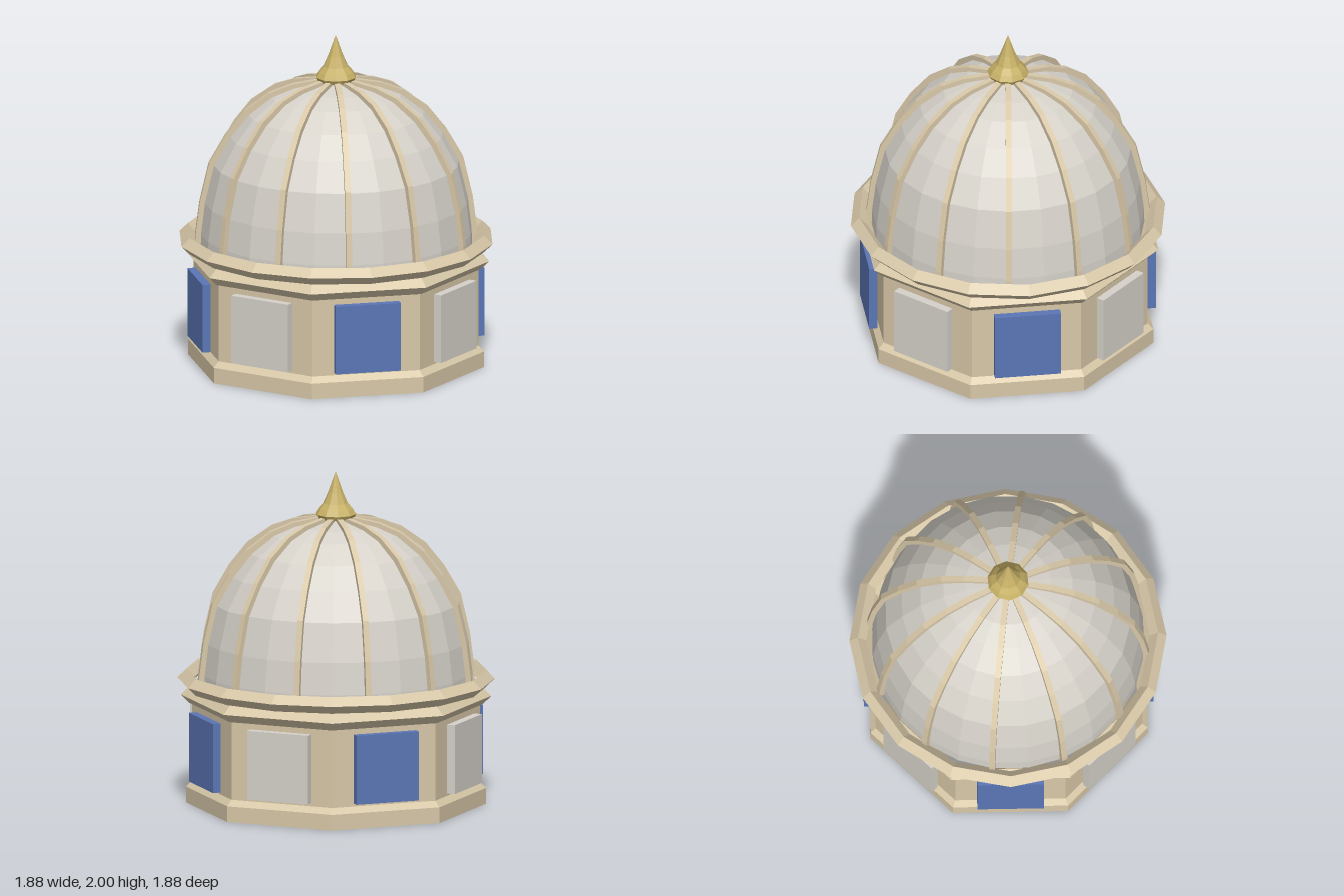
import * as THREE from 'three';

export function createModel() {
  const model = new THREE.Group();
  const material = (name, color) =>
    new THREE.MeshStandardMaterial({ name, color, flatShading: true, side: THREE.DoubleSide });
  const stone = material('sandstone', 0xd8c8a8);
  const plaster = material('pale grey', 0xd6d2ca);
  const blue = material('blue', 0x5b76b6);
  const gold = material('gold', 0xc6b066);

  const add = (name, geometry, mat, parent = model) => {
    const mesh = new THREE.Mesh(geometry, mat);
    mesh.name = name;
    parent.add(mesh);
    return mesh;
  };
  const vectors = (pts) => pts.map(([x, y]) => new THREE.Vector2(x, y));
  const lathe = (pts, sides) => new THREE.LatheGeometry(vectors(pts), sides);
  const ring = (name, radius, tube, sides, y) => {
    const geometry = new THREE.TorusGeometry(radius, tube, 4, sides).rotateX(Math.PI / 2);
    add(name, geometry, stone).position.y = y;
  };

  // Open octagonal drum with a stepped foot
  add('drum', lathe([[0.89, 0], [0.89, 0.095], [0.855, 0.13], [0.855, 0.62]], 8), stone);
  ring('cornice', 0.87, 0.05, 8, 0.65);
  ring('upperRing', 0.89, 0.05, 16, 0.755);

  // Alternating panels on the eight drum faces
  for (let i = 0; i < 8; i++) {
    const pivot = new THREE.Group();
    pivot.name = 'panelMount';
    pivot.rotation.y = (i + 0.5) * Math.PI / 4;
    const panel = add('panel', new THREE.BoxGeometry(0.395, 0.415, 0.05), i % 2 ? blue : plaster, pivot);
    panel.position.set(0, 0.36, 0.833);
    model.add(pivot);
  }

  // Faceted dome shell
  add('dome', lathe([
    [0.81, 0.71], [0.808, 0.8], [0.785, 0.99], [0.73, 1.22], [0.633, 1.39],
    [0.523, 1.525], [0.385, 1.63], [0.255, 1.68], [0.1, 1.71], [0, 1.715],
  ], 24), plaster);

  // Twelve ribs following the dome
  const outer = [
    [0.842, 0.705], [0.838, 0.8], [0.812, 1.0], [0.757, 1.235], [0.656, 1.41],
    [0.545, 1.55], [0.4, 1.655], [0.265, 1.705], [0.08, 1.735],
  ];
  const inner = [
    [0.08, 1.69], [0.25, 1.662], [0.375, 1.615], [0.51, 1.515], [0.618, 1.385],
    [0.715, 1.215], [0.768, 0.99], [0.793, 0.8], [0.797, 0.705],
  ];
  const ribGeometry = new THREE.ExtrudeGeometry(new THREE.Shape(vectors([...outer, ...inner])), {
    depth: 0.035, bevelEnabled: false,
  }).translate(0, 0, -0.0175);
  for (let i = 0; i < 12; i++) {
    add('rib', ribGeometry, stone).rotation.y = i * Math.PI / 6;
  }

  // Pointed finial
  add('finial', lathe([
    [0, 1.715], [0.11, 1.72], [0.124, 1.745], [0.105, 1.775], [0.074, 1.81], [0.045, 1.875], [0, 2],
  ], 10), gold);

  return model;
}
